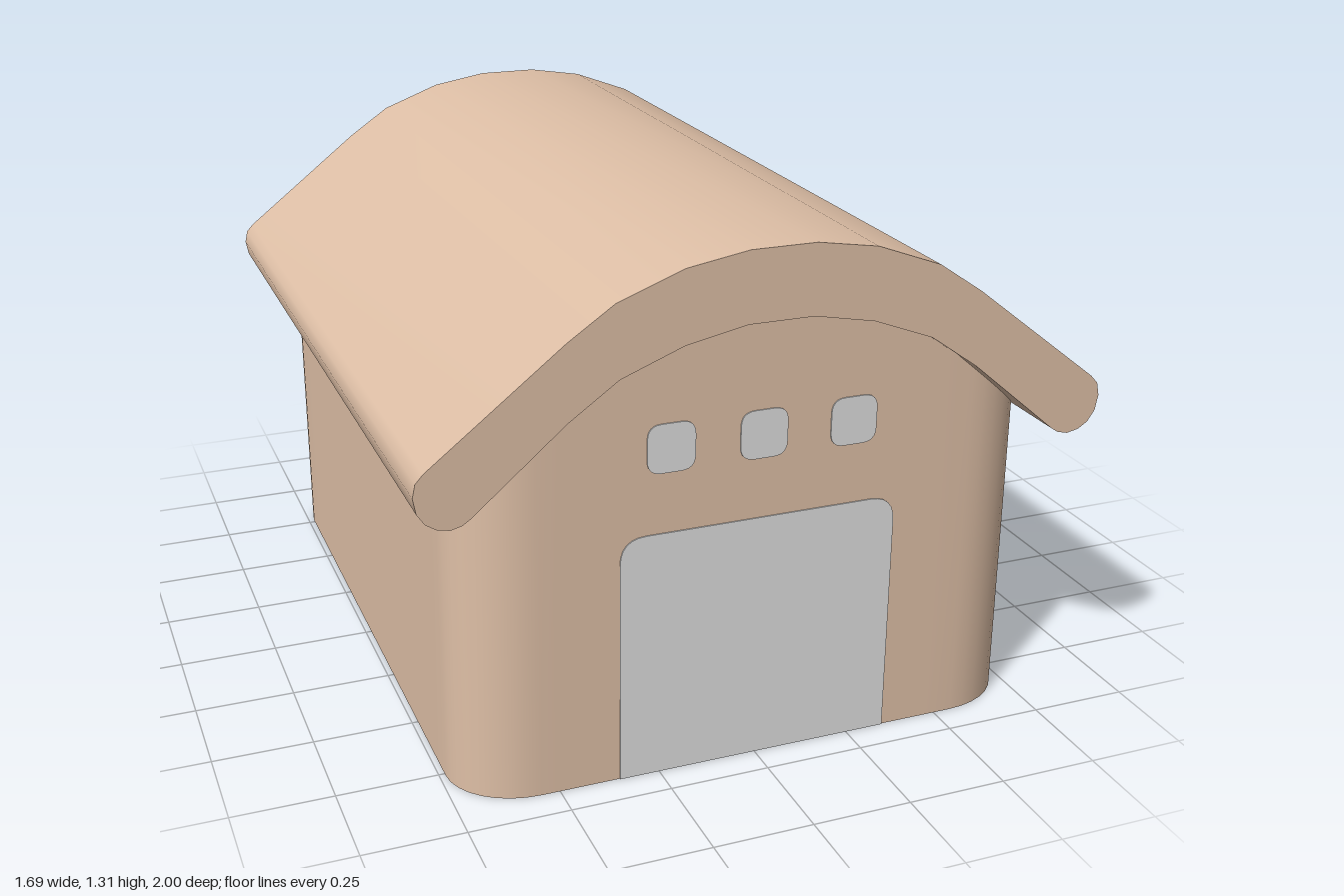
import * as THREE from 'three';
import { toCreasedNormals } from 'three/addons/utils/BufferGeometryUtils.js';

// Half profiles of the arched roof, from the ridge out to the eave
const ROOF_TOP = [[0.08, 1.31], [0.23, 1.285], [0.39, 1.225], [0.5, 1.15], [0.82, 0.9]];
const ROOF_EAVE = [[0.838, 0.88], [0.845, 0.848], [0.838, 0.81], [0.82, 0.783], [0.795, 0.767], [0.765, 0.761], [0.738, 0.768]];
const ROOF_UNDER = [[0.72, 0.78], [0.5, 0.967], [0.38, 1.052], [0.23, 1.11], [0.08, 1.14]];

const WALL_X = 0.735, WALL_Z = 0.918;

// Height of the roof's underside at a given x
function underside(x) {
  const a = Math.abs(x), p = ROOF_UNDER;
  if (a <= 0.08) return 1.14;
  for (let i = 0; i < p.length - 1; i++) {
    if (a >= p[i + 1][0]) {
      const t = (a - p[i + 1][0]) / (p[i][0] - p[i + 1][0]);
      return p[i + 1][1] + t * (p[i][1] - p[i + 1][1]);
    }
  }
  return 0.78;
}

// Rounded footprint, with its long straight runs subdivided
function footprint(rx, rz) {
  const corners = [];
  const signs = [[1, 1], [-1, 1], [-1, -1], [1, -1]];
  signs.forEach(([sx, sz], q) => {
    for (let i = 0; i <= 8; i++) {
      const a = (q + i / 8) * Math.PI / 2;
      corners.push(new THREE.Vector2(
        sx * (WALL_X - rx) + rx * Math.cos(a),
        sz * (WALL_Z - rz) + rz * Math.sin(a)));
    }
  });
  const ring = [];
  corners.forEach((p, i) => {
    const next = corners[(i + 1) % corners.length];
    const steps = p.distanceTo(next) > 0.3 ? 16 : 1;
    for (let s = 0; s < steps; s++) ring.push(p.clone().lerp(next, s / steps));
  });
  return ring;
}

// Walls rise from the footprint into the roof; the floor closes the base
function wallGeometry() {
  const ring = footprint(0.19, 0.16), n = ring.length;
  const positions = [], index = [];
  ring.forEach(p => positions.push(p.x, 0, p.y, p.x, underside(p.x) + 0.03, p.y));
  positions.push(0, 0, 0);
  for (let i = 0; i < n; i++) {
    const b = 2 * i, t = b + 1, b2 = 2 * ((i + 1) % n), t2 = b2 + 1;
    index.push(b, t, b2, t, t2, b2, 2 * n, b, b2);
  }
  const g = new THREE.BufferGeometry();
  g.setAttribute('position', new THREE.Float32BufferAttribute(positions, 3));
  g.setIndex(index);
  return toCreasedNormals(g, 0.6);
}

// Arched slab with rounded eaves, running front to back
function roofGeometry() {
  const half = [...ROOF_TOP, ...ROOF_EAVE, ...ROOF_UNDER];
  const mirrored = half.map(([x, y]) => [-x, y]).reverse();
  const shape = new THREE.Shape([...half, ...mirrored].map(([x, y]) => new THREE.Vector2(x, y)));
  const g = new THREE.ExtrudeGeometry(shape, { depth: 2, bevelEnabled: false });
  g.translate(0, 0, -1);
  return toCreasedNormals(g, 0.75);
}

// Thin front panel; the bottom corners may be square
function panelGeometry(x0, x1, y0, y1, r, roundBottom) {
  const b = roundBottom ? r : 0;
  const s = new THREE.Shape();
  s.moveTo(x0 + b, y0);
  s.lineTo(x1 - b, y0);
  if (b) s.quadraticCurveTo(x1, y0, x1, y0 + b);
  s.lineTo(x1, y1 - r);
  s.quadraticCurveTo(x1, y1, x1 - r, y1);
  s.lineTo(x0 + r, y1);
  s.quadraticCurveTo(x0, y1, x0, y1 - r);
  s.lineTo(x0, y0 + b);
  if (b) s.quadraticCurveTo(x0, y0, x0 + b, y0);
  const g = new THREE.ExtrudeGeometry(s, { depth: 0.004, bevelEnabled: false, curveSegments: 6 });
  g.translate(0, 0, WALL_Z - 0.001);
  return g;
}

export function createModel() {
  const tan = new THREE.MeshStandardMaterial({ name: 'tan', color: 0xdebfa6 });
  const paleGrey = new THREE.MeshStandardMaterial({ name: 'paleGrey', color: 0xdedede });

  const model = new THREE.Group();
  model.name = 'barn';
  const add = (name, geometry, material) => {
    const mesh = new THREE.Mesh(geometry, material);
    mesh.name = name;
    model.add(mesh);
  };

  add('walls', wallGeometry(), tan);
  add('roof', roofGeometry(), tan);
  add('door', panelGeometry(-0.35, 0.35, 0, 0.63, 0.065, false), paleGrey);

  // Row of three small windows above the door
  ['rightWindow', 'middleWindow', 'leftWindow'].forEach((name, i) => {
    const x = 0.003 + (i - 1) * 0.229;
    add(name, panelGeometry(x - 0.059, x + 0.059, 0.78, 0.9, 0.035, true), paleGrey);
  });

  return model;
}
